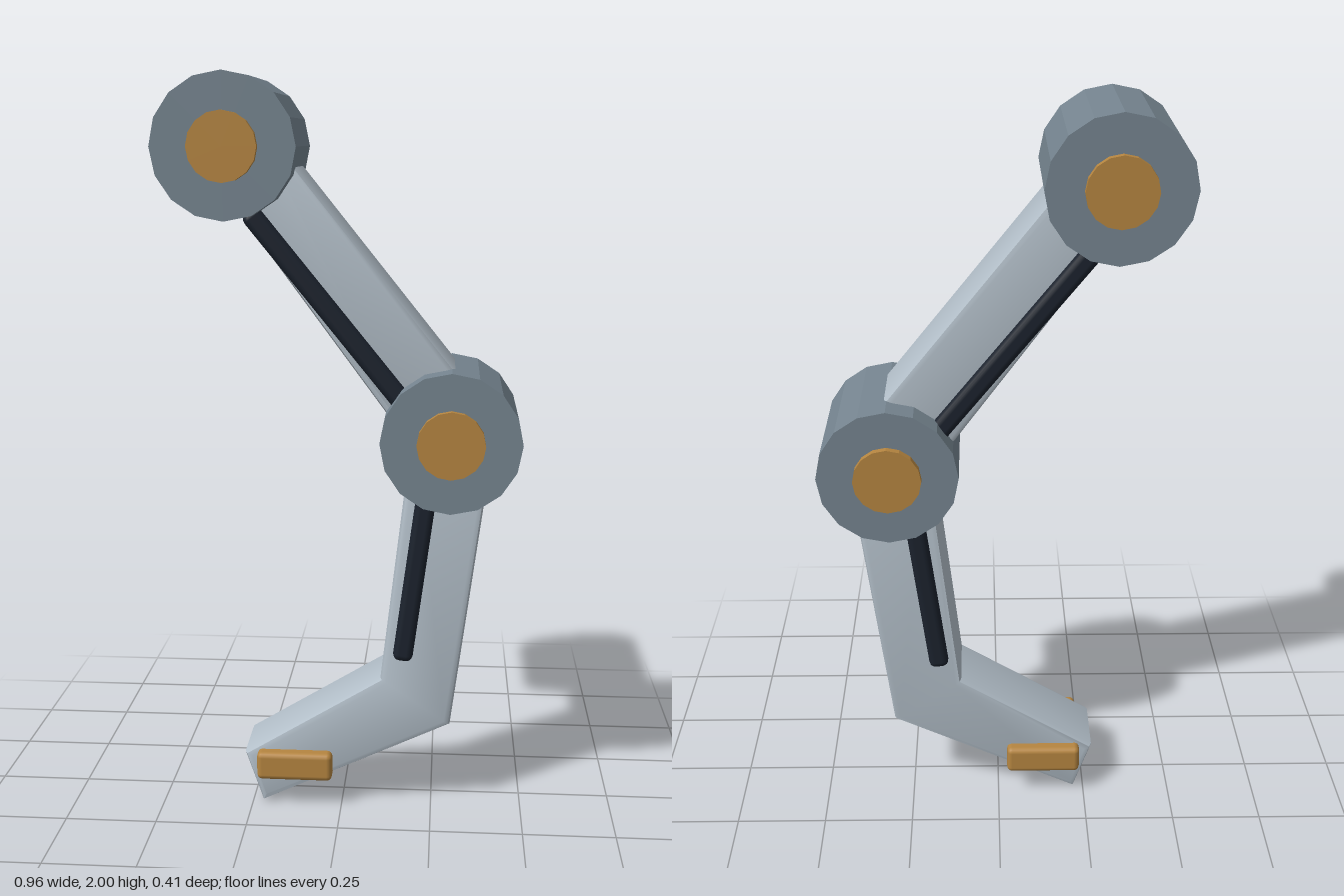
import * as THREE from 'three';
import { RoundedBoxGeometry } from 'three/addons/geometries/RoundedBoxGeometry.js';
import { toCreasedNormals } from 'three/addons/utils/BufferGeometryUtils.js';

const mat = (color) => new THREE.MeshStandardMaterial({ color });

export function createModel() {
  const model = new THREE.Group();
  const shell = mat(0xb2bec8), steel = mat(0x75848f), dark = mat(0x1b222d), brass = mat(0xb58540);

  const add = (name, geometry, material, x = 0, y = 0, z = 0) => {
    const mesh = new THREE.Mesh(geometry, material);
    mesh.name = name;
    mesh.position.set(x, y, z);
    model.add(mesh);
    return mesh;
  };

  // Bevelled plate: side outline in x/y, extruded symmetrically in z
  const limb = (name, points, halfDepth, bevel = 0.018) => {
    const shape = new THREE.Shape(points.map(([x, y]) => new THREE.Vector2(x, y)));
    const geo = new THREE.ExtrudeGeometry(shape, {
      depth: 2 * (halfDepth - bevel), bevelSize: bevel, bevelThickness: bevel,
      bevelOffset: -bevel, bevelSegments: 2,
    });
    geo.translate(0, 0, bevel - halfDepth);
    add(name, toCreasedNormals(geo, 0.6), shell);
  };

  // Rounded bar running between two points in the x/y plane
  const bar = (name, [x1, y1], [x2, y2], width, depth, material) => {
    const length = Math.hypot(x2 - x1, y2 - y1);
    const geo = new RoundedBoxGeometry(width, length, depth, 2, 0.018);
    const mesh = add(name, geo, material, (x1 + x2) / 2, (y1 + y2) / 2);
    mesh.rotation.z = Math.atan2(y2 - y1, x2 - x1) - Math.PI / 2;
  };

  // Faceted joint drum with a pin through it
  const joint = (name, x, y) => {
    for (const [part, r, depth, material] of [['Drum', 0.187, 0.366, steel], ['Pin', 0.09, 0.406, brass]]) {
      const geo = new THREE.CylinderGeometry(r, r, depth, 16).rotateX(Math.PI / 2);
      const flat = material.clone();
      flat.flatShading = true;
      add(name + part, geo, flat, x, y);
    }
  };

  const hip = [-0.295, 1.813], knee = [0.292, 1.055];
  joint('upperJoint', ...hip);
  joint('lowerJoint', ...knee);

  // Upper limb, widening slightly toward the lower joint
  const length = Math.hypot(knee[0] - hip[0], knee[1] - hip[1]);
  const dx = (knee[0] - hip[0]) / length, dy = (knee[1] - hip[1]) / length;
  const at = (s, offset) => [hip[0] + dx * s - dy * offset, hip[1] + dy * s + dx * offset];
  limb('upperLimb', [at(0, 0.105), at(0, -0.078), at(length, -0.1), at(length - 0.06, 0.121)], 0.11);

  // Lower limb bending into the foot
  limb('lowerLimb', [
    [0.187, 1.06], [0.107, 0.375], [-0.272, 0.145], [-0.222, 0], [0.3, 0.245], [0.404, 1.04],
  ], 0.107);

  // Dark struts passing through the limbs
  bar('upperStrut', [-0.24, 1.648], [0.165, 1.15], 0.055, 0.26, dark);
  bar('lowerStrut', [0.235, 0.95], [0.167, 0.435], 0.054, 0.26, dark);

  // Crossbar through the foot
  add('footCrossbar', new RoundedBoxGeometry(0.21, 0.08, 0.28, 2, 0.015), brass, -0.13, 0.12);

  return model;
}
